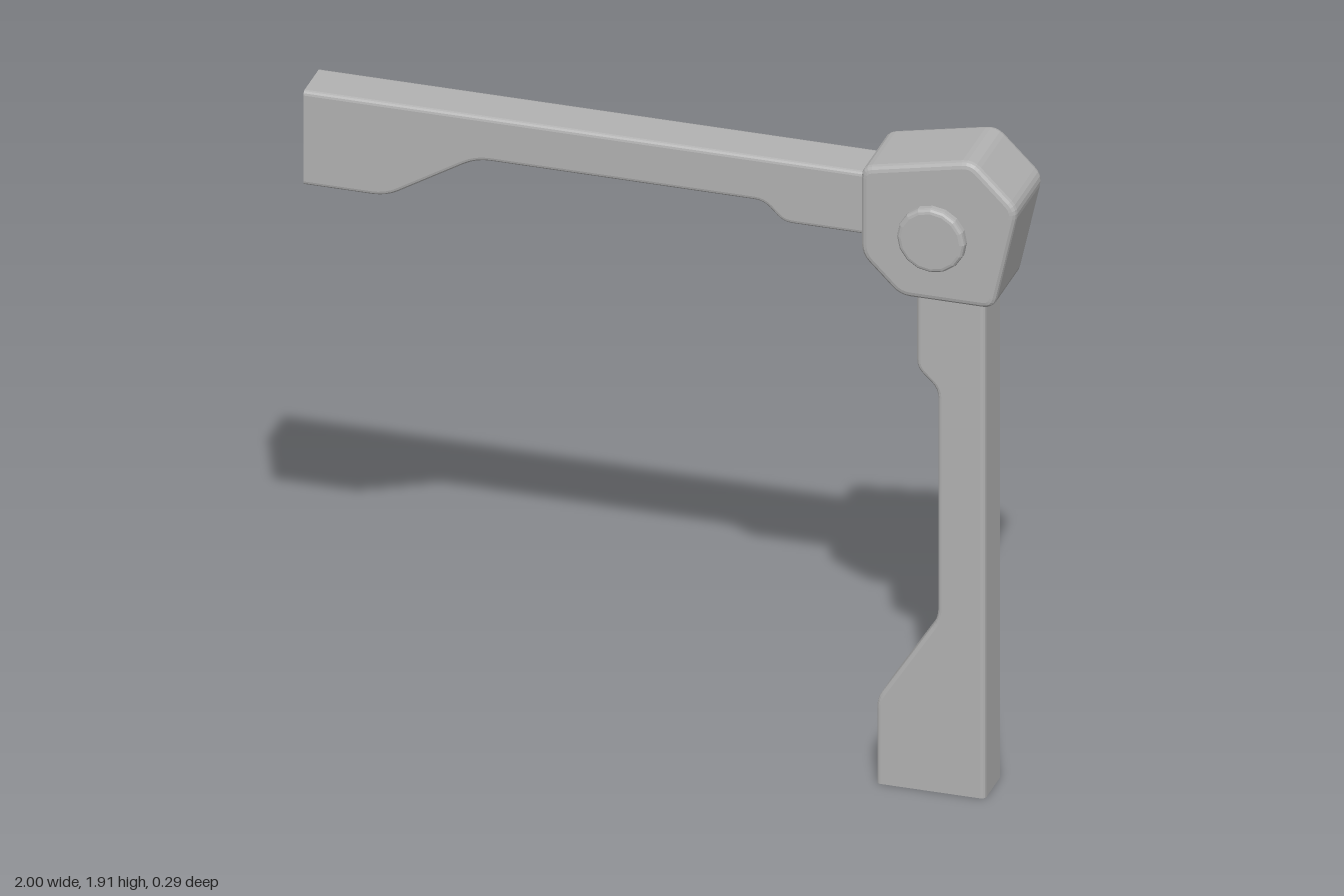
import * as THREE from 'three';

// Closed outline with each corner [x, y, radius] softened by a short curve
function roundedOutline(corners, radius) {
  const shape = new THREE.Shape();
  const pts = corners.map(([x, y]) => new THREE.Vector2(x, y));
  corners.forEach((corner, i) => {
    const p = pts[i];
    const r = corner[2] ?? radius;
    const toward = (q) => p.clone().add(q.clone().sub(p).setLength(r));
    const a = toward(pts[(i + pts.length - 1) % pts.length]);
    const b = toward(pts[(i + 1) % pts.length]);
    if (i === 0) shape.moveTo(a.x, a.y);
    else shape.lineTo(a.x, a.y);
    if (r > 0) shape.quadraticCurveTo(p.x, p.y, b.x, b.y);
  });
  shape.closePath();
  return shape;
}

// Extrusion centred on z = 0 whose bevel stays inside the outline
function slab(shape, halfDepth, bevel, curveSegments = 4) {
  const geometry = new THREE.ExtrudeGeometry(shape, {
    depth: 2 * (halfDepth - bevel),
    bevelEnabled: true,
    bevelThickness: bevel,
    bevelSize: bevel,
    bevelOffset: -bevel,
    bevelSegments: 3,
    curveSegments,
  });
  geometry.translate(0, 0, -(halfDepth - bevel));
  return geometry;
}

// Presses the overhanging end of an arm flat, leaving a square-cut end
function cutEnd(geometry, minX, minY) {
  const pos = geometry.attributes.position;
  for (let i = 0; i < pos.count; i++) {
    pos.setXY(i, Math.max(pos.getX(i), minX), Math.max(pos.getY(i), minY));
  }
  geometry.computeVertexNormals();
  return geometry;
}

export function createModel() {
  const group = new THREE.Group();
  const grey = new THREE.MeshStandardMaterial({ color: 0xb2b2b2 });
  grey.name = 'grey';

  const add = (name, geometry) => {
    const mesh = new THREE.Mesh(geometry, grey);
    mesh.name = name;
    group.add(mesh);
  };

  const armBevel = 0.012;
  const armHalf = 0.072;

  // Horizontal arm with a deep end block and a stepped root
  const horizontal = roundedOutline([
    [-1 - armBevel, 1.815, 0], [-1 - armBevel, 1.535, 0],
    [-0.77, 1.535, 0.04], [-0.52, 1.685, 0.04],
    [0.28, 1.685, 0.025], [0.335, 1.63, 0.025],
    [0.65, 1.63], [0.65, 1.815],
  ], 0.02);
  add('horizontalArm', cutEnd(slab(horizontal, armHalf, armBevel), -1, 0));

  // Vertical arm with a wide foot and a stepped root
  const vertical = roundedOutline([
    [0.595, -armBevel, 0], [0.898, -armBevel, 0],
    [0.898, 1.56], [0.706, 1.56],
    [0.706, 1.255, 0.025], [0.765, 1.2, 0.025],
    [0.765, 0.515, 0.03], [0.595, 0.25, 0.025],
  ], 0.02);
  add('verticalArm', cutEnd(slab(vertical, armHalf, armBevel), -1, 0));

  // Faceted housing at the joint
  const housing = roundedOutline([
    [0.565, 1.853], [0.875, 1.917], [1.003, 1.79],
    [0.935, 1.485], [0.673, 1.485], [0.565, 1.593],
  ], 0.03);
  add('jointHousing', slab(housing, 0.118, 0.018));

  // Pivot pin passing through the housing
  const disc = new THREE.Shape();
  disc.absarc(0, 0, 0.095, 0, Math.PI * 2, false);
  const pin = slab(disc, 0.145, 0.013, 8);
  pin.translate(0.768, 1.677, 0);
  add('pivotPin', pin);

  return group;
}
